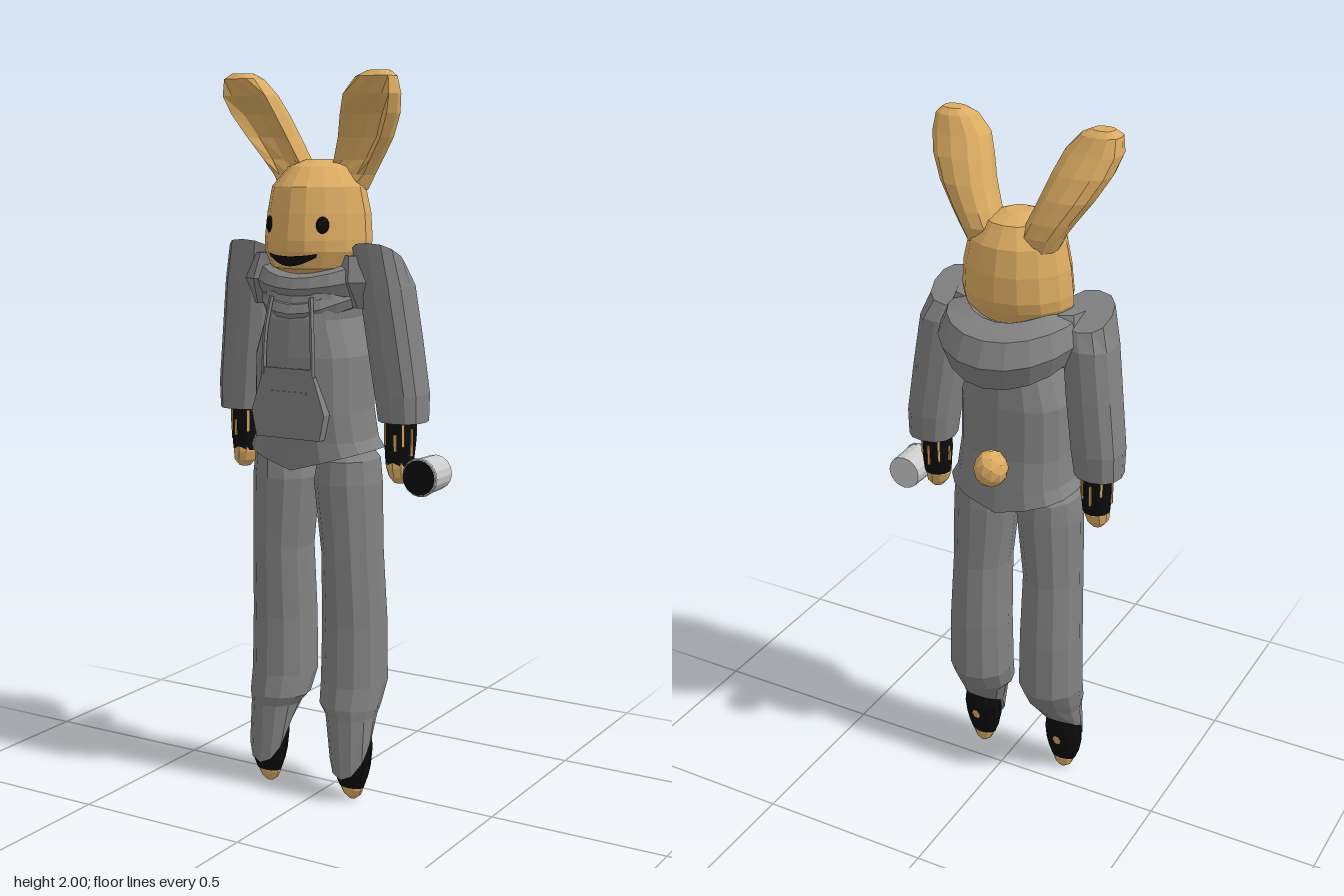
import * as THREE from 'three';

const mat = (name, color) => {
  const m = new THREE.MeshStandardMaterial({ color, flatShading: true });
  m.name = name;
  return m;
};

export function createModel() {
  const fur = mat('tan fur', 0xdcac62);
  const cloth = mat('grey cloth', 0x828282);
  const black = mat('black', 0x0c0c0c);
  const metal = mat('light grey', 0xcccccc);

  const model = new THREE.Group();
  model.name = 'rabbit';
  const body = new THREE.Group();
  body.name = 'body';
  body.position.x = -0.035; // the cup widens the model to one side
  model.add(body);

  const add = (name, geo, material, parent = body) => {
    const mesh = new THREE.Mesh(geo, material);
    mesh.name = name;
    parent.add(mesh);
    return mesh;
  };

  // Stacked rings [x, y, z, rx, rz], top to bottom; side = -1 mirrors x
  function loft(rings, { n = 12, side = 1, square = 1, tweak } = {}) {
    const pos = [], idx = [];
    const pw = v => Math.sign(v) * Math.abs(v) ** square;
    const put = p => pos.push(p.x * side, p.y, p.z);
    const tri = (a, b, c) => (side > 0 ? idx.push(a, b, c) : idx.push(a, c, b));
    rings.forEach(([x, y, z, rx, rz], r) => {
      for (let i = 0; i < n; i++) {
        const a = (i / n) * Math.PI * 2;
        const p = new THREE.Vector3(x + rx * pw(Math.sin(a)), y, z + rz * pw(Math.cos(a)));
        if (tweak) tweak(p, a, r, rings[r]);
        put(p);
      }
    });
    const last = (rings.length - 1) * n, top = rings.length * n;
    [rings[0], rings[rings.length - 1]].forEach(([x, y, z]) => put(new THREE.Vector3(x, y, z)));
    for (let i = 0; i < n; i++) {
      const j = (i + 1) % n;
      for (let r = 0; r < last; r += n) {
        tri(r + i, r + n + i, r + j);
        tri(r + n + i, r + n + j, r + j);
      }
      tri(top, i, j);
      tri(top + 1, last + j, last + i);
    }
    const g = new THREE.BufferGeometry();
    g.setAttribute('position', new THREE.Float32BufferAttribute(pos, 3));
    g.setIndex(idx);
    g.computeVertexNormals();
    return g;
  }

  // Head, pinched towards the muzzle
  const headRings = [
    [0, 1.772, 0.03, 0.035, 0.035], [0, 1.752, 0.03, 0.09, 0.085], [0, 1.70, 0.037, 0.135, 0.127],
    [0, 1.63, 0.037, 0.15, 0.141], [0, 1.56, 0.041, 0.156, 0.146], [0, 1.53, 0.045, 0.155, 0.14],
    [0, 1.485, 0.05, 0.13, 0.122], [0, 1.46, 0.04, 0.08, 0.07],
  ];
  const pinch = (p, a) => { p.x *= 1 - 0.25 * Math.max(0, Math.cos(a)); };
  add('head', loft(headRings, { n: 16, tweak: pinch }), fur);

  // Mouth: a thin crescent following the jaw
  const mouthPos = [], mouthIdx = [], steps = 12;
  for (let i = 0; i <= steps; i++) {
    const u = (i / steps) * 2 - 1, a = u * 0.66;
    const top = 0.25 - 0.15 * u * u, low = top + 0.2 + 0.4 * (1 - u * u);
    for (const t of [top, low]) {
      const [y, z, rx, rz] = [1, 2, 3, 4].map(k => THREE.MathUtils.lerp(headRings[5][k], headRings[6][k], t));
      const p = new THREE.Vector3(rx * Math.sin(a), y, z + rz * Math.cos(a) + 0.005);
      pinch(p, a);
      mouthPos.push(p.x, p.y, p.z);
    }
    const k = i * 2;
    if (i < steps) mouthIdx.push(k, k + 1, k + 2, k + 1, k + 3, k + 2);
  }
  const mouth = new THREE.BufferGeometry();
  mouth.setAttribute('position', new THREE.Float32BufferAttribute(mouthPos, 3));
  mouth.setIndex(mouthIdx);
  mouth.computeVertexNormals();
  add('mouth', mouth, black);

  // Hooded top, its hem dipping to a point between the legs
  add('torso', loft([
    [0, 1.50, 0.03, 0.15, 0.08], [0, 1.42, 0.045, 0.135, 0.115], [0, 1.35, 0.05, 0.122, 0.13],
    [0, 1.25, 0.05, 0.157, 0.137], [0, 1.10, 0.05, 0.16, 0.139], [0, 1.02, 0.04, 0.168, 0.14],
    [0, 0.94, 0.035, 0.185, 0.142],
  ], { n: 16, square: 0.75, tweak: (p, a, r) => { if (r === 6) p.y += Math.abs(p.x) * 0.28; } }), cloth);

  const pocketShape = new THREE.Shape([[-0.075, 1.22], [-0.115, 1.1], [-0.1, 1.03], [0.1, 1.03], [0.115, 1.1], [0.075, 1.22]]
    .map(p => new THREE.Vector2(...p)));
  add('frontPocket', new THREE.ExtrudeGeometry(pocketShape, {
    depth: 0.051, bevelEnabled: false,
  }).translate(0, 0, 0.14), cloth);
  add('pocketSeam', new THREE.BoxGeometry(0.12, 0.006, 0.006).translate(0, 1.155, 0.191), cloth);

  // Collar rings: thin and low at the front, thick at the back
  const cowl = (rx, front, back) => {
    const g = new THREE.TorusGeometry(1, 0.4, 8, 20).rotateX(Math.PI / 2);
    const p = g.attributes.position;
    for (let i = 0; i < p.count; i++) {
      const x = p.getX(i), z = p.getZ(i), a = Math.atan2(x, z), t = (1 - Math.cos(a)) / 2;
      const [cy, cz, r] = front.map((f, k) => THREE.MathUtils.lerp(f, back[k], t));
      const k = r / 0.4, out = (Math.hypot(x, z) - 1) * k;
      const lift = 0.035 * Math.sin(a) ** 2;
      p.setXYZ(i, Math.sin(a) * (rx + out), cy + lift + p.getY(i) * k, cz + Math.cos(a) * out);
    }
    g.computeVertexNormals();
    return g;
  };
  add('hood', cowl(0.13, [1.43, 0.13, 0.04], [1.41, -0.1, 0.095]), cloth);
  add('collarFold', cowl(0.11, [1.365, 0.15, 0.034], [1.39, -0.05, 0.05]), cloth);

  add('tail', new THREE.IcosahedronGeometry(0.05, 1).scale(0.95, 1.05, 1).translate(0, 1.087, -0.125), fur);

  for (const side of [1, -1]) {
    const s = side > 0 ? 'left' : 'right';

    // Ear, hollowed at the front
    const dent = [0, 0.15, 0.6, 0.9, 0.9, 0.7, 0.4, 0];
    add(s + 'Ear', loft([
      [0.213, 2.0, 0.075, 0.03, 0.025], [0.207, 1.985, 0.078, 0.055, 0.045], [0.19, 1.94, 0.072, 0.078, 0.06],
      [0.172, 1.89, 0.05, 0.08, 0.066], [0.145, 1.83, 0.025, 0.073, 0.066], [0.112, 1.77, 0.008, 0.063, 0.064],
      [0.09, 1.73, 0, 0.058, 0.06], [0.08, 1.69, 0, 0.048, 0.05],
    ], {
      side, square: 0.85, tweak: (p, a, r, ring) => {
        const c = Math.cos(a);
        if (c > 0.8) p.z -= ring[4] * dent[r] * (c > 0.95 ? 1 : 0.75);
      },
    }), fur);

    const eye = add(s + 'Eye', new THREE.SphereGeometry(1, 10, 8).scale(0.018, 0.023, 0.009), black);
    eye.position.set(side * 0.083, 1.6, 0.144);
    eye.rotation.y = side * 0.75;

    // Drawstring
    add(s + 'Drawstring', new THREE.TubeGeometry(new THREE.CatmullRomCurve3([
      [0.062, 1.41, 0.168], [0.073, 1.32, 0.182], [0.078, 1.2, 0.186],
    ].map(([x, y, z]) => new THREE.Vector3(x * side, y, z))), 6, 0.007, 5), cloth);

    // Sleeve with a shoulder rising to the front
    add(s + 'Sleeve', loft([
      [0.197, 1.52, 0.045, 0.068, 0.065], [0.215, 1.44, 0.03, 0.072, 0.075], [0.233, 1.3, 0.02, 0.073, 0.074],
      [0.253, 1.15, 0.012, 0.072, 0.072], [0.258, 1.075, 0.012, 0.066, 0.066],
    ], { side, square: 0.85, tweak: (p, a, r) => { if (r === 0) p.y += (p.z - 0.045) * 0.55; } }), cloth);

    // Shoulder bridge to the torso
    add(s + 'Shoulder', loft([
      [0.14, 1.52, 0.045, 0.05, 0.06], [0.15, 1.45, 0.04, 0.06, 0.085], [0.16, 1.38, 0.03, 0.04, 0.06],
    ], { n: 8, side }), cloth);

    // Forearm with light streaks, and hand
    add(s + 'Forearm', loft([
      [0.25, 1.1, 0.015, 0.042, 0.045], [0.25, 1.02, 0.015, 0.043, 0.045], [0.25, 0.955, 0.018, 0.038, 0.038],
    ], { side }), black);
    [0.2, 0.7, 1.3, 2.4, 3.1, 3.8, 4.6, 5.6].forEach((a, i) => {
      const streak = add(s + 'Streak', new THREE.BoxGeometry(0.007, 0.045 + 0.015 * (i % 3), 0.006), fur);
      streak.position.set(side * (0.25 + 0.042 * Math.sin(a)), 1.02 + 0.02 * (i % 2), 0.015 + 0.044 * Math.cos(a));
      streak.rotation.y = side * a;
    });
    add(s + 'Hand', loft([
      [0.25, 0.985, 0.018, 0.036, 0.037], [0.25, 0.95, 0.02, 0.037, 0.038], [0.253, 0.925, 0.022, 0.031, 0.032],
      [0.253, 0.907, 0.022, 0.016, 0.017],
    ], { n: 10, side }), fur);

    // Trouser leg, its hem dipping over the foot
    add(s + 'TrouserLeg', loft([
      [0.105, 1.0, 0.035, 0.05, 0.07], [0.102, 0.965, 0.036, 0.083, 0.098], [0.1, 0.9, 0.038, 0.093, 0.101],
      [0.113, 0.7, 0.036, 0.084, 0.094], [0.115, 0.5, 0.026, 0.09, 0.095], [0.115, 0.33, 0.028, 0.093, 0.097],
      [0.116, 0.268, 0.052, 0.087, 0.085], [0.124, 0.24, 0.06, 0.072, 0.074], [0.134, 0.165, 0.08, 0.06, 0.056],
    ], {
      side, tweak: (p, a, r) => {
        if (r < 8) return;
        const c = Math.cos(a);
        p.y -= c > 0 ? 0.095 * c : 0.03 * c;
      },
    }), cloth);

    // Foot with bare toe and worn heel
    add(s + 'Foot', loft([
      [0.137, 0.22, 0.065, 0.045, 0.045], [0.138, 0.15, 0.073, 0.056, 0.05], [0.138, 0.1, 0.08, 0.056, 0.043],
      [0.138, 0.07, 0.081, 0.05, 0.035], [0.138, 0.037, 0.08, 0.038, 0.024],
    ], { side }), black);
    add(s + 'Toe', loft([
      [0.138, 0.06, 0.079, 0.034, 0.024], [0.138, 0.03, 0.079, 0.034, 0.022], [0.138, 0.012, 0.077, 0.026, 0.016],
      [0.138, 0, 0.076, 0.01, 0.008],
    ], { n: 10, side }), fur);
    const heel = add(s + 'HeelPatch', new THREE.CircleGeometry(0.022, 6).scale(0.65, 1, 1).rotateY(Math.PI), fur);
    heel.position.set(side * 0.138, 0.123, 0.027);
    heel.rotation.x = -0.27;
  }

  // Cup held out beside the left hand, mouth to the front
  const cup = new THREE.Group();
  cup.name = 'cup';
  cup.position.set(0.306, 0.937, 0.027);
  model.add(cup);
  add('cupBody', new THREE.CylinderGeometry(0.05, 0.048, 0.098, 16).rotateX(Math.PI / 2), metal, cup);
  add('cupRim', new THREE.TorusGeometry(0.048, 0.005, 6, 16).translate(0, 0, 0.045), metal, cup);
  add('cupOpening', new THREE.CircleGeometry(0.048, 16).translate(0, 0, 0.0515), black, cup);

  return model;
}
